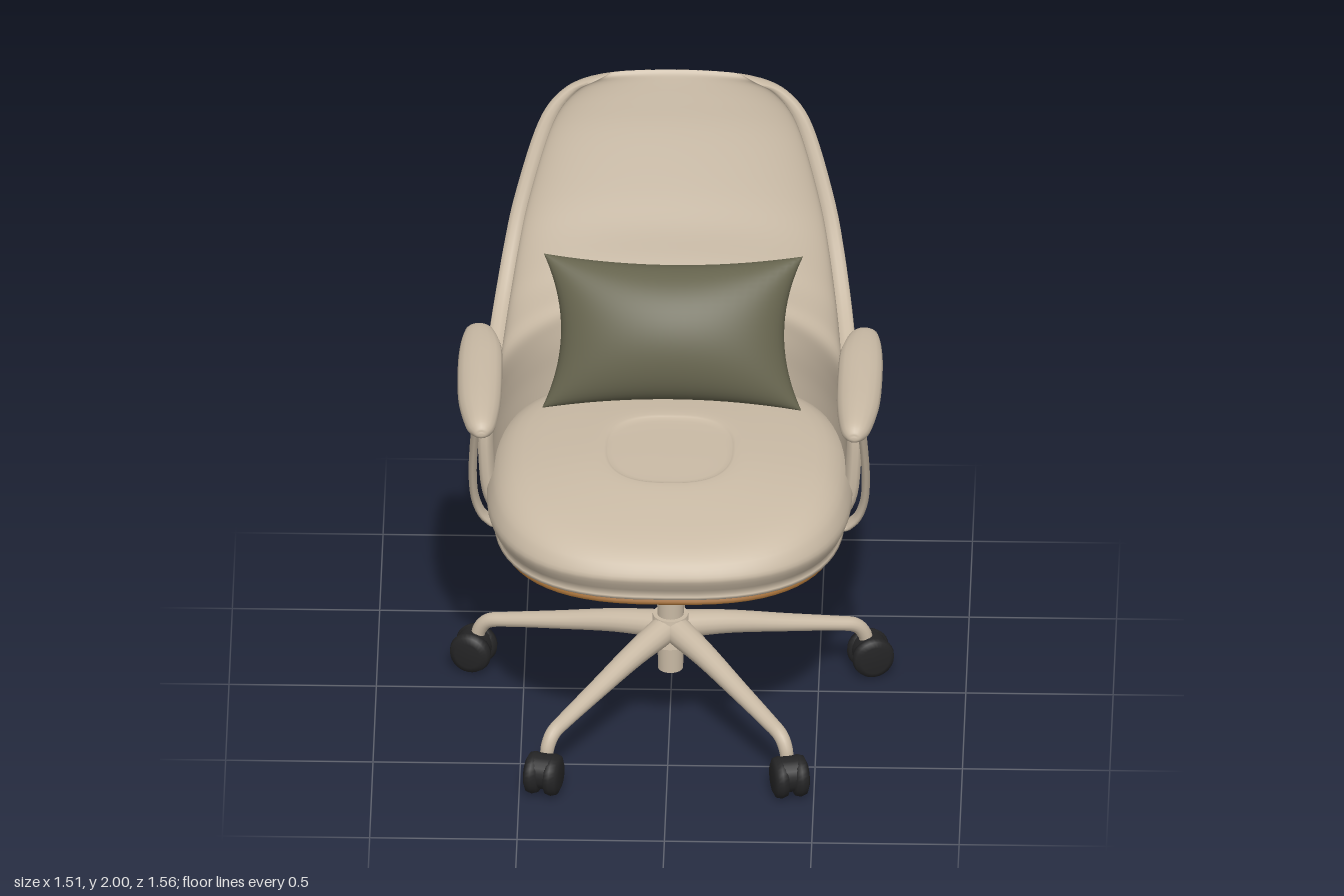
import * as THREE from 'three';

const mat = (name, color) => Object.assign(new THREE.MeshStandardMaterial({ color }), { name });

// Smooth curve through rows of numbers, k samples per span
function spline(rows, k) {
  const out = [], last = rows.length - 1;
  for (let s = 0; s < last; s++) {
    const [a, b, c, d] = [s - 1, s, s + 1, s + 2].map(i => rows[Math.min(last, Math.max(0, i))]);
    for (let q = 0; q < k; q++) {
      const t = q / k;
      out.push(b.map((v, i) => v + 0.5 * t * (c[i] - a[i] + t * (2 * a[i] - 5 * v + 4 * c[i] - d[i]
        + t * (3 * (v - c[i]) + d[i] - a[i])))));
    }
  }
  out.push(rows[last]);
  return out;
}

// Skin closed rings of [x, y, z]; pick(j, i) may choose a second material
function loft(rings, { caps = true, pick = () => 0 } = {}) {
  const n = rings[0].length, pos = rings.flat(), index = [[], []];
  for (let j = 0; j < rings.length - 1; j++) {
    for (let i = 0; i < n; i++) {
      const a = j * n + i, b = j * n + (i + 1) % n;
      index[pick(j, i)].push(a, b, a + n, b, b + n, a + n);
    }
  }
  if (caps) {
    for (const [j, end] of [[0, false], [rings.length - 1, true]]) {
      const c = pos.length;
      pos.push([0, 1, 2].map(k => rings[j].reduce((s, p) => s + p[k], 0) / n));
      for (let i = 0; i < n; i++) {
        const a = j * n + i, b = j * n + (i + 1) % n;
        index[0].push(c, ...(end ? [a, b] : [b, a]));
      }
    }
  }
  const g = new THREE.BufferGeometry();
  g.setAttribute('position', new THREE.Float32BufferAttribute(pos.flat(), 3));
  g.setIndex(index.flat());
  if (index[1].length) {
    g.addGroup(0, index[0].length, 0);
    g.addGroup(index[0].length, index[1].length, 1);
  }
  g.computeVertexNormals();
  return g;
}

// Rounded bar along rows of [x, y, z, half thickness, half width]
function sweep(rows, k = 5, n = 16) {
  const p = spline(rows, k);
  return loft(p.map(([x, y, z, h, w], j) => {
    const a = p[Math.max(0, j - 1)], b = p[Math.min(p.length - 1, j + 1)];
    const l = Math.hypot(b[0] - a[0], b[1] - a[1]), tx = (b[0] - a[0]) / l, ty = (b[1] - a[1]) / l;
    return Array.from({ length: n }, (_, i) => {
      const c = Math.cos(i / n * 2 * Math.PI), s = Math.sin(i / n * 2 * Math.PI);
      return [x - ty * h * c, y + tx * h * c, z + w * s];
    });
  }));
}

function mirrored(g) {
  const m = g.clone().scale(-1, 1, 1), ix = m.index.array;
  for (let i = 0; i < ix.length; i += 3) [ix[i], ix[i + 1]] = [ix[i + 1], ix[i]];
  m.computeVertexNormals();
  return m;
}

const pw = (v, e) => Math.sign(v) * Math.abs(v) ** e;

// Stack of seat-shaped outlines, profile rows are [scale, y]; droop lowers the front of the top
function slab(profile, halfW, halfD, cz, droop = 0, n = 64) {
  return loft(spline(profile, 3).map(([s, y]) => Array.from({ length: n }, (_, i) => {
    const t = i / n * 2 * Math.PI, z = cz - s * halfD * pw(Math.sin(t), 0.78);
    const fall = droop * Math.max(0, (z - 0.15) / 0.63) ** 2 * Math.max(0, (y - 0.88) / 0.17);
    return [s * halfW * pw(Math.cos(t), 0.74), y - fall, z];
  })));
}

// Wrap-around back: [y, half width, back z, front edge z, inner back z, rim thickness]
function shellGeometry() {
  const rows = spline([
    [0.755, 0.42, -0.4, 0.12, -0.4, 0], [0.77, 0.53, -0.46, 0.17, -0.42, 0.05],
    [0.81, 0.598, -0.505, 0.19, -0.41, 0.05], [0.9, 0.637, -0.55, 0.2, -0.41, 0.05],
    [1.05, 0.65, -0.602, 0.2, -0.42, 0.05], [1.15, 0.65, -0.632, 0.19, -0.43, 0.05],
    [1.22, 0.643, -0.652, 0.155, -0.45, 0.05], [1.265, 0.635, -0.664, 0.08, -0.46, 0.05],
    [1.3, 0.625, -0.673, -0.07, -0.475, 0.05], [1.35, 0.612, -0.685, -0.2, -0.49, 0.05],
    [1.41, 0.597, -0.699, -0.31, -0.515, 0.05], [1.5, 0.577, -0.717, -0.41, -0.55, 0.05],
    [1.62, 0.548, -0.74, -0.5, -0.605, 0.05], [1.8, 0.49, -0.767, -0.6, -0.68, 0.05],
    [1.9, 0.442, -0.778, -0.65, -0.715, 0.05], [1.96, 0.38, -0.78, -0.682, -0.735, 0.05],
    [1.987, 0.315, -0.775, -0.7, -0.745, 0.05], [2, 0.22, -0.755, -0.73, -0.755, 0],
  ], 4);
  const H = Math.PI / 2, band = 4, mid = 36, m = band * 2 + mid;
  const rings = rows.map(([y, w, zb, zf, zi, th]) => {
    // squarer wrap low down, rounder towards the top
    const E = THREE.MathUtils.lerp(0.78, 1, THREE.MathUtils.smoothstep(y, 1.05, 1.7));
    const at = (a, hw, back, ex, ez) =>
      [hw * pw(Math.sin(a), ex), y, zf - (zf - back) * Math.max(0, Math.cos(a)) ** ez];
    const a0 = Math.acos(Math.min(0.055 / (zf - zb), 0.9) ** (1 / E));
    const angle = i => i < band ? H + (a0 - H) * i / band
      : i <= band + mid ? a0 - 2 * a0 * (i - band) / mid : -a0 - (H - a0) * (i - band - mid) / band;
    const outer = [], inner = [];
    for (let i = 0; i <= m; i++) {
      outer.push(at(angle(i), w, zb, E, E));
      inner.push(at(-H + Math.PI * i / m, w - th, zi, E, E + 0.2));
    }
    const tip = (s, f) => [s * (w - th * f), y, zf + th * 1.2 * f * (1 - f)];
    return [...outer, tip(-1, 0.25), tip(-1, 0.6), ...inner, tip(1, 0.6), tip(1, 0.25)];
  });
  const pick = (j, i) => +(i >= band && i < band + mid && rows[j][0] > 0.78 && rows[j + 1][0] < 1.965);
  return loft(rings, { caps: false, pick });
}

// Cushion with pinched corners and hollow edges
function pillowGeometry() {
  const nv = 28, nu = 56;
  return loft(Array.from({ length: nv + 1 }, (_, j) => {
    const v = Math.sin((j / nv - 0.5) * Math.PI), r = Math.max(0, 1 - v * v);
    return Array.from({ length: nu }, (_, i) => {
      const t = i / nu * 2 * Math.PI, u = Math.cos(t);
      return [0.44 * u * (1 - 0.14 * r), 0.262 * v * (1 - 0.13 * (1 - u * u)), -0.15 * r ** 0.5 * pw(Math.sin(t), 0.95)];
    });
  }), { caps: false });
}

export function createModel() {
  const beige = mat('beige upholstery', 0xc8b9a4), tan = mat('tan leather', 0xa06c34);
  const olive = mat('olive fabric', 0x66644e), black = mat('black plastic', 0x242425);
  const model = new THREE.Group();
  model.name = 'officeChair';
  const add = (name, geo, material, x = 0, y = 0, z = 0, parent = model) => {
    const mesh = new THREE.Mesh(geo, material);
    mesh.name = name;
    mesh.position.set(x, y, z);
    parent.add(mesh);
    return mesh;
  };
  const cyl = (r1, r2, h, n = 24) => new THREE.CylinderGeometry(r1, r2, h, n);

  // Back, seat and pillow
  add('backShell', shellGeometry(), [beige, tan]);
  add('seatCushion', slab([[0.02, 0.81], [0.88, 0.805], [0.95, 0.83], [1, 0.895], [0.985, 0.95], [0.93, 1.005],
    [0.8, 1.045], [0.5, 1.065], [0.36, 1.068], [0.31, 1.058], [0.02, 1.055]], 0.62, 0.6, 0.18, 0.08), beige);
  add('seatPan', slab([[0.9, 0.772], [0.94, 0.785], [0.92, 0.81]], 0.61, 0.58, 0.2), tan);
  add('seatUnderside', slab([[0.95, 0.758], [0.98, 0.764], [0.97, 0.785]], 0.52, 0.56, 0.13), beige);
  add('pillow', pillowGeometry(), olive, 0, 1.28, -0.225).rotation.x = -0.49;

  // Armrests and their supports
  const pad = sweep([[-0.13, 1.35, -0.655, 0.006, 0.01], [-0.11, 1.35, -0.653, 0.024, 0.045],
    [0, 1.349, -0.646, 0.034, 0.07], [0.15, 1.342, -0.645, 0.04, 0.076], [0.33, 1.327, -0.642, 0.047, 0.072],
    [0.46, 1.315, -0.636, 0.042, 0.052], [0.505, 1.31, -0.633, 0.022, 0.028], [0.515, 1.31, -0.633, 0.005, 0.008]])
    .rotateY(-Math.PI / 2);
  const support = sweep([[0.65, 1.31, 0.375, 0.014, 0.055], [0.662, 1.15, 0.32, 0.014, 0.042],
    [0.667, 1, 0.27, 0.014, 0.034], [0.657, 0.88, 0.23, 0.014, 0.032], [0.62, 0.8, 0.21, 0.014, 0.032],
    [0.54, 0.772, 0.2, 0.014, 0.032], [0.15, 0.755, 0.2, 0.014, 0.03]]);
  add('leftArmPad', pad, beige);
  add('rightArmPad', mirrored(pad), beige);
  add('leftArmSupport', support, beige);
  add('rightArmSupport', mirrored(support), beige);

  // Tilt mechanism: side profile extruded across, plates, knob and lever
  const side = new THREE.Shape([[0.48, 0.77], [0.47, 0.73], [0.25, 0.67], [0.13, 0.58], [0.03, 0.58], [-0.1, 0.61],
    [-0.26, 0.62], [-0.41, 0.69], [-0.3, 0.695], [-0.2, 0.67], [-0.08, 0.68], [-0.03, 0.77]]
    .map(([z, y]) => new THREE.Vector2(-z, y)));
  add('tiltBody', new THREE.ExtrudeGeometry(side, { depth: 0.1, bevelSize: 0.01, bevelThickness: 0.01, bevelSegments: 1 })
    .translate(0, 0, -0.05).rotateY(Math.PI / 2), black);
  add('mountPlate', new THREE.BoxGeometry(0.4, 0.035, 0.5), black, 0, 0.75, 0.16);
  add('mountBlock', new THREE.BoxGeometry(0.24, 0.07, 0.4), black, 0, 0.715, 0.12);
  add('rearBlock', new THREE.BoxGeometry(0.3, 0.08, 0.16), black, 0, 0.7, -0.15);
  add('tensionKnob', cyl(0.06, 0.055, 0.12), black, 0, 0.63, 0.3);
  add('columnSocket', cyl(0.09, 0.055, 0.19), black, 0, 0.665, 0.08);
  add('leverRod', cyl(0.011, 0.011, 0.57, 12).rotateZ(Math.PI / 2), black, -0.115, 0.648, -0.03);
  add('leverEnd', cyl(0.02, 0.02, 0.05, 12).rotateZ(Math.PI / 2), black, 0.145, 0.648, -0.03);
  add('leverHandle', new THREE.CapsuleGeometry(0.015, 0.13, 6, 12).rotateZ(Math.PI / 2), beige, -0.48, 0.648, -0.03);

  // Column and five-legged base
  const base = new THREE.Group();
  base.name = 'base';
  base.position.z = 0.08;
  model.add(base);
  add('columnSleeve', cyl(0.046, 0.043, 0.34), beige, 0, 0.31, 0, base);
  add('gasLift', cyl(0.031, 0.031, 0.15), beige, 0, 0.54, 0, base);
  add('hub', cyl(0.06, 0.08, 0.1), beige, 0, 0.302, 0, base);

  const legGeo = sweep([[0.02, 0.305, 0, 0.05, 0.052], [0.2, 0.285, 0, 0.04, 0.043], [0.4, 0.247, 0, 0.031, 0.035],
    [0.58, 0.212, 0, 0.025, 0.029], [0.655, 0.192, 0, 0.025, 0.026], [0.688, 0.15, 0, 0.024, 0.024],
    [0.692, 0.11, 0, 0.022, 0.022]]);
  const wheelGeo = new THREE.LatheGeometry([[0, -0.029], [0.045, -0.029], [0.066, -0.02], [0.073, 0],
    [0.068, 0.018], [0.05, 0.027], [0, 0.027]].map(p => new THREE.Vector2(...p)), 28).rotateX(Math.PI / 2);
  const hoodGeo = cyl(0.062, 0.062, 0.06, 20).rotateX(Math.PI / 2);
  const swivel = [0, 0, 0.4, -0.4, 0];
  swivel.forEach((turn, i) => {
    const arm = new THREE.Group(), caster = new THREE.Group();
    arm.name = 'baseLeg' + (i + 1);
    arm.rotation.y = Math.PI / 2 + i * Math.PI * 0.4;
    base.add(arm);
    add('leg', legGeo, beige, 0, 0, 0, arm);
    caster.name = 'caster';
    caster.position.x = 0.692;
    caster.rotation.y = turn;
    arm.add(caster);
    const out = turn ? 0.045 : 0.016;
    for (const s of [-1, 1]) add('casterWheel', wheelGeo, black, out, 0.074, s * 0.033, caster);
    add('casterHood', hoodGeo, black, out, 0.084, 0, caster);
  });
  return model;
}
